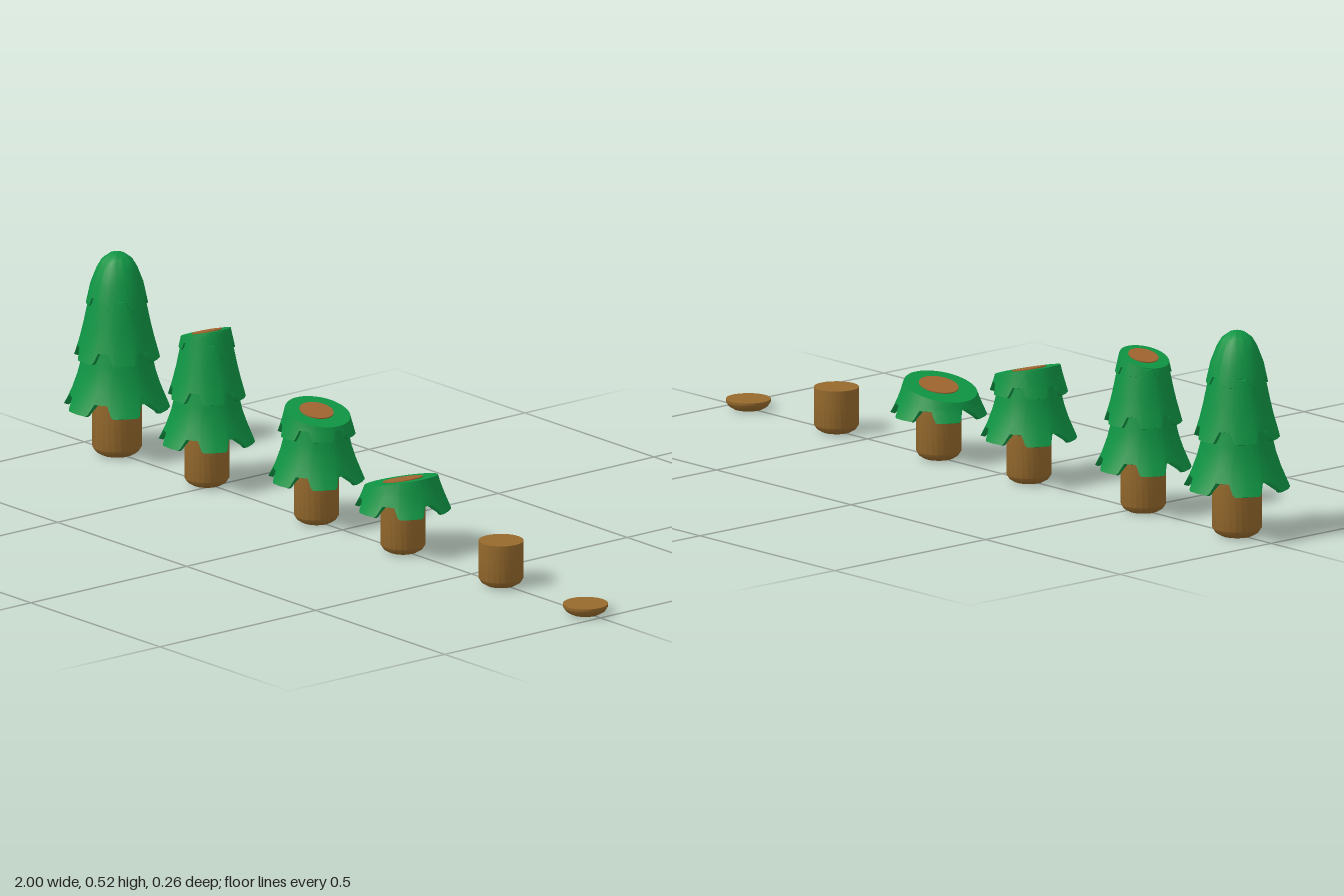
import * as THREE from 'three';
import { toCreasedNormals } from 'three/addons/utils/BufferGeometryUtils.js';

const foliage = new THREE.MeshStandardMaterial({ color: 0x0f9544, name: 'foliage green' });
const bark = new THREE.MeshStandardMaterial({ color: 0x966a2d, name: 'bark brown' });
const cutWood = new THREE.MeshStandardMaterial({ color: 0xa0652f, name: 'cut wood' });

// Each tier: outline [height, radius] from hem to top, top of the hem notches, angle of the first tab
const TIERS = [
  { name: 'lowerTier', notch: 0.14, turn: Math.PI / 6,
    outline: [[0.113, 0.12], [0.14, 0.106], [0.18, 0.091], [0.21, 0.083], [0.26, 0.075]] },
  { name: 'middleTier', notch: 0.255, turn: Math.PI / 6,
    outline: [[0.229, 0.097], [0.26, 0.087], [0.3, 0.077], [0.34, 0.069], [0.37, 0.062]] },
  { name: 'upperTier', notch: 0.373, turn: 0,
    outline: [[0.354, 0.07], [0.4, 0.06], [0.436, 0.046], [0.455, 0.035], [0.468, 0.018], [0.473, 0]] },
];
const TABS = 6;
// Position across one tab and its notch, with the notch amount (0 = tab tip, 1 = notch top)
const TAB_STEPS = [[-0.36, 1], [-0.27, 0.15], [-0.23, 0], [0, 0], [0.23, 0], [0.27, 0.15], [0.36, 1], [0.5, 1]];

function radiusAt(outline, y) {
  for (let i = 1; i < outline.length; i++) {
    const [y0, r0] = outline[i - 1], [y1, r1] = outline[i];
    if (y <= y1) return r0 + (r1 - r0) * (y - y0) / (y1 - y0);
  }
  return outline[outline.length - 1][1];
}

// Height where the outline meets the sloping cut at angle a
function cutHeight(outline, cut, a) {
  let low = outline[0][0], high = outline[outline.length - 1][0];
  const above = y => y > cut.height + cut.slope * radiusAt(outline, y) * Math.cos(a);
  if (!cut || !above(high)) return high;
  for (let i = 0; i < 24; i++) {
    const mid = (low + high) / 2;
    if (above(mid)) high = mid; else low = mid;
  }
  return low;
}

// Skirt with a scalloped, thick hem, closed below and above
function makeTier({ name, notch, turn, outline }, cut) {
  const tip = outline[0][0], end = outline[outline.length - 1][0];
  const columns = [];
  for (let t = 0; t < TABS; t++) {
    for (const [u, n] of TAB_STEPS) {
      const a = turn + (t + u) * Math.PI * 2 / TABS;
      const hem = tip + (notch - tip) * n;
      const top = cut ? Math.max(cutHeight(outline, cut, a), hem + 0.001) : end;
      const r = radiusAt(outline, hem);
      const path = [[0.045, notch + 0.003], [r - 0.014, hem], [r - 0.011, hem - 0.003], [r - 0.003, hem - 0.001]];
      for (const [y] of outline) {
        const h = hem + (top - hem) * (y - tip) / (end - tip);
        path.push([radiusAt(outline, h), h]);
      }
      path.push([0, cut ? cut.height : end]);
      columns.push(path.map(([pr, y]) => [pr * Math.cos(a), y, pr * Math.sin(a)]));
    }
  }
  const pos = [], rows = columns[0].length;
  columns.forEach((col, j) => {
    const next = columns[(j + 1) % columns.length];
    for (let i = 0; i < rows - 1; i++) {
      pos.push(...col[i], ...col[i + 1], ...next[i]);
      pos.push(...next[i], ...col[i + 1], ...next[i + 1]);
    }
  });
  const geo = new THREE.BufferGeometry();
  geo.setAttribute('position', new THREE.Float32BufferAttribute(pos, 3));
  const mesh = new THREE.Mesh(toCreasedNormals(geo, 0.6), foliage);
  mesh.name = name;
  return mesh;
}

// Round log with a softened foot
function makeLog(name, height, foot) {
  const profile = [[0, 0], [0.037, 0], [0.049, foot * 0.4], [0.056, foot], [0.056, height], [0, height]];
  const geo = new THREE.LatheGeometry(profile.map(([x, y]) => new THREE.Vector2(x, y)), 24);
  const mesh = new THREE.Mesh(toCreasedNormals(geo, 0.6), bark);
  mesh.name = name;
  return mesh;
}

function makeTree(name, tierCount, cut) {
  const tree = new THREE.Group();
  tree.name = name;
  tree.add(makeLog('trunk', 0.15, 0.018));
  for (let i = 0; i < tierCount; i++) {
    tree.add(makeTier(TIERS[i], i === tierCount - 1 ? cut : null));
  }
  if (cut) {
    // Exposed wood lying on the sloping cut
    const disc = new THREE.Mesh(new THREE.CylinderGeometry(cut.wood, cut.wood, 0.003, 24), cutWood);
    disc.name = 'cutFace';
    disc.position.y = cut.height + 0.001;
    disc.rotation.z = Math.atan(cut.slope);
    tree.add(disc);
  }
  return tree;
}

export function createModel() {
  const model = new THREE.Group();
  model.name = 'treeFellingStages';
  const place = (part, x) => { part.position.x = x; model.add(part); };

  // Whole tree, slightly larger than the rest
  const whole = makeTree('wholeTree', 3, null);
  whole.scale.setScalar(1.1);
  place(whole, -0.873);

  // Trees cut lower and lower
  place(makeTree('topCutTree', 3, { height: 0.392, slope: 0.28, wood: 0.038 }), -0.525);
  place(makeTree('halfCutTree', 2, { height: 0.284, slope: -0.235, wood: 0.043 }), -0.1);
  place(makeTree('lowCutTree', 1, { height: 0.183, slope: 0.24, wood: 0.05 }), 0.235);

  // Bare stump and the last slice
  place(makeLog('stump', 0.113, 0.018), 0.615);
  place(makeLog('stumpSlice', 0.025, 0.018), 0.942);
  return model;
}
